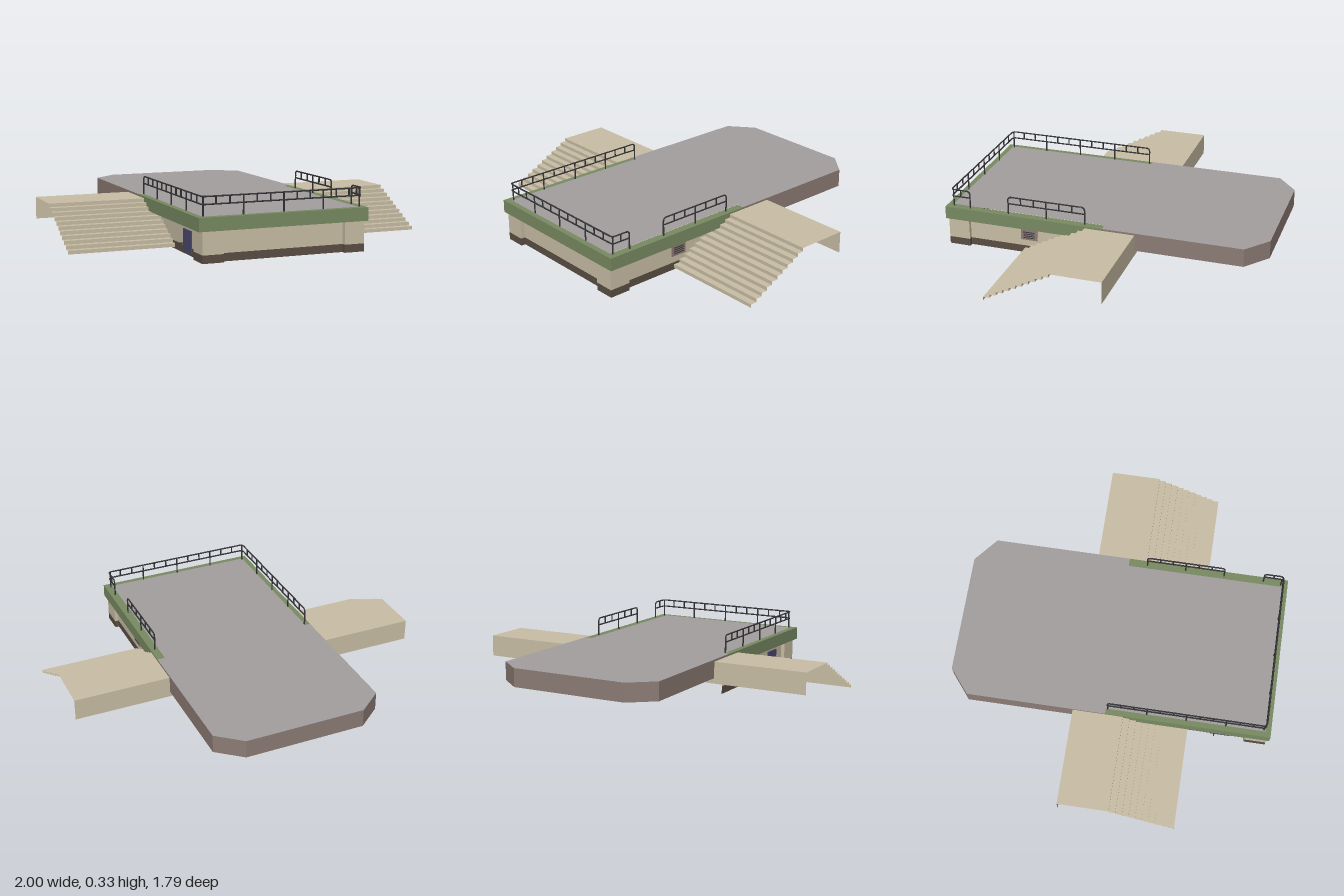
import * as THREE from 'three';

const mat = (name, color, side = THREE.FrontSide) => {
  const m = new THREE.MeshStandardMaterial({ color, side });
  m.name = name;
  return m;
};

export function createModel() {
  const model = new THREE.Group();
  model.name = 'raisedPlatform';
  const D = THREE.DoubleSide;
  const sand = mat('sand', 0xc9bea5, D);
  const plinth = mat('plinthBrown', 0x5a4e44, D);
  const green = mat('trimGreen', 0x788a62);
  const grey = mat('deckGrey', 0xa49f9f, D);
  const mauve = mat('rimMauve', 0x8c7b74, D);
  const iron = mat('railIron', 0x36363a);
  const blue = mat('doorBlue', 0x4c4870);

  const add = (name, geometry, material, parent = model) => {
    const mesh = new THREE.Mesh(geometry, material);
    mesh.name = name;
    parent.add(mesh);
    return mesh;
  };
  // Box given by its lower and upper corners
  const box = (name, a, b, material, parent) => {
    const g = new THREE.BoxGeometry(b[0] - a[0], b[1] - a[1], b[2] - a[2]);
    g.translate((a[0] + b[0]) / 2, (a[1] + b[1]) / 2, (a[2] + b[2]) / 2);
    return add(name, g, material, parent);
  };
  // Open sheet: a polyline swept between two levels; at(p, level) gives the 3D point
  const sheet = (pts, lo, hi, at) => {
    const pos = [];
    for (let i = 0; i < pts.length - 1; i++) {
      const a = at(pts[i], lo), b = at(pts[i + 1], lo);
      const c = at(pts[i + 1], hi), d = at(pts[i], hi);
      pos.push(...a, ...b, ...c, ...a, ...c, ...d);
    }
    const g = new THREE.BufferGeometry();
    g.setAttribute('position', new THREE.Float32BufferAttribute(pos, 3));
    g.computeVertexNormals();
    return g;
  };
  const upright = ([x, z], y) => [x, y, z];
  const sideways = ([z, y], x) => [x, y, z];

  // Deck: one flat sheet with cut corners at the back
  const deck = new THREE.Shape([
    [-0.44, -0.86], [0.42, -0.86], [0.42, 0.02], [0.465, 0.02], [0.465, 0.79],
    [0.33, 0.9], [-0.335, 0.9], [-0.47, 0.79], [-0.47, 0.02], [-0.44, 0.02],
  ].map(([x, y]) => new THREE.Vector2(x, y)));
  add('deck', new THREE.ShapeGeometry(deck).rotateX(-Math.PI / 2).translate(0, 0.231, 0), grey);

  // Skirt around the overhanging part of the deck
  const rim = [[0.465, -0.01], [0.465, -0.79], [0.33, -0.9], [-0.335, -0.9], [-0.47, -0.79], [-0.47, -0.01]];
  add('deckRim', sheet(rim, 0.13, 0.231, upright), mauve);

  // Walls with thicker front corners, open at the back and below
  const half = [[0.425, -0.02], [0.425, 0.76], [0.447, 0.76], [0.447, 0.88], [0.335, 0.88], [0.335, 0.855]];
  const plan = [...half, ...half.map(([x, z]) => [-x, z]).reverse()];
  add('wallBase', sheet(plan, 0, 0.042, upright), plinth);
  add('walls', sheet(plan, 0.042, 0.165, upright), sand);

  // Green trim band
  box('trimLeft', [0.42, 0.16, -0.02], [0.465, 0.23, 0.89], green);
  box('trimRight', [-0.47, 0.16, -0.02], [-0.42, 0.23, 0.89], green);
  box('trimFront', [-0.42, 0.16, 0.85], [0.42, 0.23, 0.89], green);

  // Stairs: folded sheet with landing and back panel, one on each side
  const profile = [[-0.2, 0.1], [-0.2, 0.22], [0.08, 0.22]];
  const rise = 0.21 / 11;
  for (let i = 1; i <= 11; i++) {
    const z = 0.08 + (i - 1) * 0.036;
    profile.push([z, 0.22 - i * rise]);
    if (i < 11) profile.push([z + 0.036, 0.22 - i * rise]);
  }
  add('stairsLeft', sheet(profile, 0.42, 1, sideways), sand);
  add('stairsRight', sheet(profile, -1, -0.42, sideways), sand);

  // Louvred vent on the left wall
  const vent = new THREE.Group();
  vent.name = 'vent';
  model.add(vent);
  box('ventPlate', [0.424, 0.08, 0.365], [0.431, 0.142, 0.46], mauve, vent);
  for (let i = 0; i < 4; i++) {
    const y = 0.092 + i * 0.011;
    box('ventSlat', [0.43, y, 0.38], [0.434, y + 0.004, 0.445], iron, vent);
  }

  // Door on the right wall
  box('door', [-0.431, 0.012, 0.57], [-0.424, 0.13, 0.68], blue);
  box('doorHandle', [-0.455, 0.053, 0.585], [-0.43, 0.058, 0.592], iron);

  // Railings: bars follow straight runs, the outer bar has rounded corners
  const rails = new THREE.Group();
  rails.name = 'railings';
  model.add(rails);
  const R = 0.0042;
  const bar = (name, a, b) => {
    const path = new THREE.LineCurve3(new THREE.Vector3(...a), new THREE.Vector3(...b));
    add(name, new THREE.TubeGeometry(path, 1, R, 6), iron, rails);
  };
  const rounded = (name, raw, r = 0.02) => {
    const pts = raw.map((p) => new THREE.Vector3(...p));
    const path = new THREE.CurvePath();
    let from = pts[0];
    for (let i = 1; i < pts.length - 1; i++) {
      const inn = pts[i].clone().add(pts[i - 1].clone().sub(pts[i]).setLength(r));
      const out = pts[i].clone().add(pts[i + 1].clone().sub(pts[i]).setLength(r));
      path.add(new THREE.LineCurve3(from, inn));
      path.add(new THREE.QuadraticBezierCurve3(inn, pts[i], out));
      from = out;
    }
    path.add(new THREE.LineCurve3(from, pts[pts.length - 1]));
    path.curves.forEach((c) =>
      add(name, new THREE.TubeGeometry(c, c.isLineCurve3 ? 1 : 4, R, 6), iron, rails));
  };
  const Y0 = 0.23, YM = 0.29, YT = 0.329;
  // Posts at each span, short struts at thirds of a span
  const uprights = (a, b, spans, per) => {
    for (let i = 1; i < spans * per; i++) {
      const t = i / (spans * per);
      const x = a[0] + (b[0] - a[0]) * t, z = a[1] + (b[1] - a[1]) * t;
      const post = i % per === 0;
      bar(post ? 'railPost' : 'railStrut', [x, post ? Y0 : YM, z], [x, YT, z]);
    }
  };
  const X = 0.44, ZF = 0.858, ZB = -0.01;
  rounded('topRail', [[-X, Y0, ZB], [-X, YT, ZB], [-X, YT, ZF], [X, YT, ZF], [X, YT, 0.75], [X, Y0, 0.75]]);
  rounded('middleRail', [[-X, YM, ZB], [-X, YM, ZF], [X, YM, ZF], [X, YM, 0.75]]);
  rounded('topRail', [[X, Y0, 0.525], [X, YT, 0.525], [X, YT, 0.085], [X, Y0, 0.085]]);
  bar('middleRail', [X, YM, 0.525], [X, YM, 0.085]);
  uprights([-X, ZF], [X, ZF], 4, 3);
  uprights([-X, ZB], [-X, ZF], 4, 3);
  uprights([X, 0.085], [X, 0.525], 2, 3);
  uprights([X, 0.75], [X, ZF], 1, 2);
  for (const s of [-1, 1]) {
    bar('cornerPost', [s * (X - 0.008), Y0, ZF - 0.008], [s * (X - 0.008), YT, ZF - 0.008]);
  }

  return model;
}
